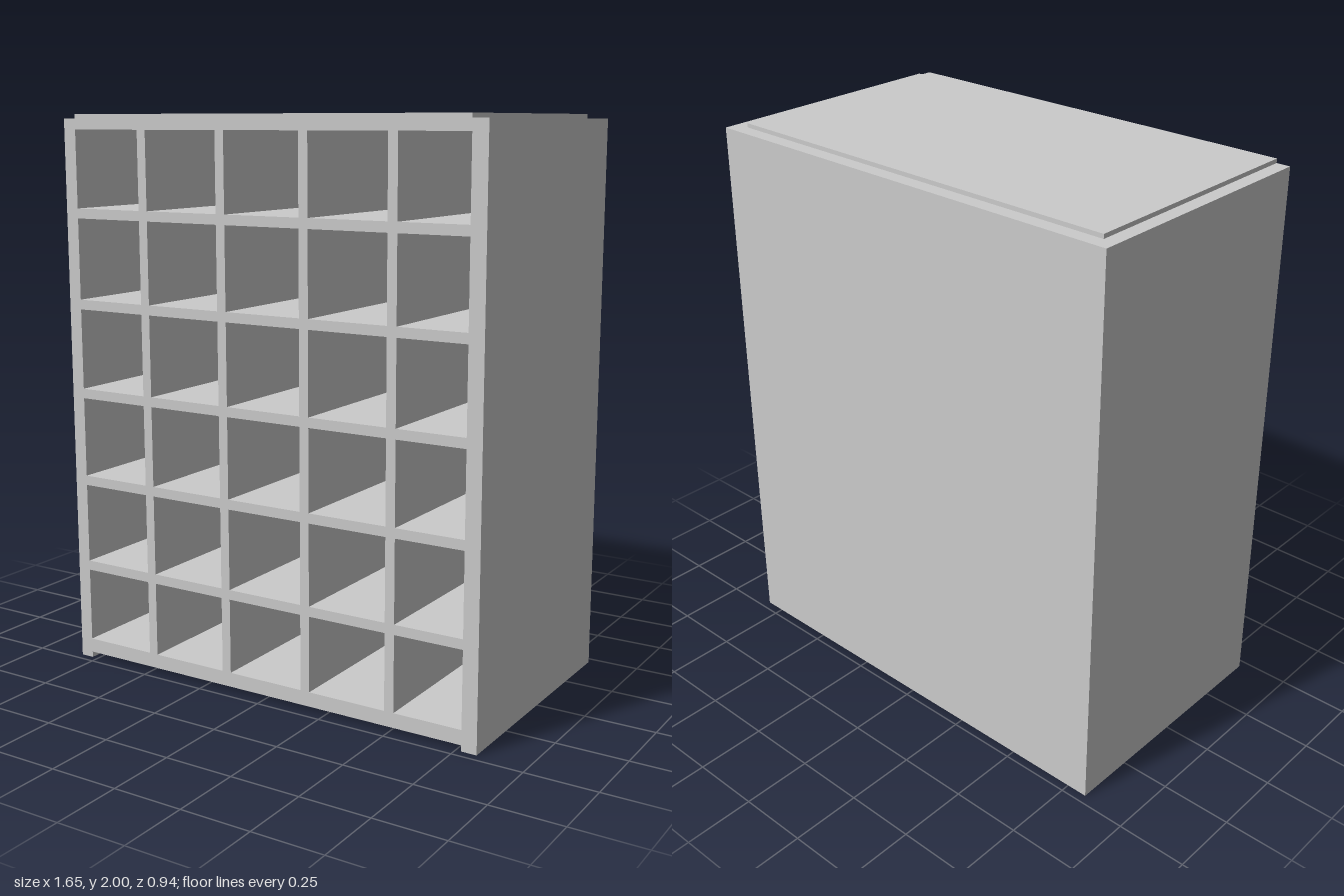
import * as THREE from 'three';

const material = new THREE.MeshStandardMaterial({ color: 0xcccccc, flatShading: true });

// Adds a box given its extents along each axis
function addBoard(group, name, [x0, x1], [y0, y1], [z0, z1]) {
  const mesh = new THREE.Mesh(new THREE.BoxGeometry(x1 - x0, y1 - y0, z1 - z0), material);
  mesh.position.set((x0 + x1) / 2, (y0 + y1) / 2, (z0 + z1) / 2);
  mesh.name = name;
  group.add(mesh);
}

export function createModel() {
  const group = new THREE.Group();
  group.name = 'pigeonholeCabinet';

  const left = 0.77, right = -0.775, outer = 0.825; // inner and outer faces of the sides
  const front = 0.468, back = -0.468, backInner = -0.417;
  const sideTop = 1.985, thickness = 0.035;
  const inside = [right, left], depth = [backInner, front];

  // Outer case: sides, back, raised top and slightly recessed bottom
  addBoard(group, 'leftSide', [left, outer], [0, sideTop], [backInner, front]);
  addBoard(group, 'rightSide', [-outer, right], [0, sideTop], [backInner, front]);
  addBoard(group, 'backPanel', [-outer, outer], [0, sideTop], [back, backInner]);
  addBoard(group, 'topPanel', inside, [1.947, 2], depth);
  addBoard(group, 'bottomPanel', inside, [0.021, 0.073], depth);

  // Five full-width shelves
  const shelfBottoms = [];
  for (let i = 0; i < 5; i++) shelfBottoms.push(0.342 + i * 0.324);
  shelfBottoms.forEach((y) => addBoard(group, 'shelf', inside, [y, y + thickness], depth));

  // Four upright dividers in each of the six rows
  const floors = [0.073, ...shelfBottoms.map((y) => y + thickness)];
  const ceilings = [...shelfBottoms, 1.947];
  for (let row = 0; row < 6; row++) {
    for (let i = 0; i < 4; i++) {
      const x = -0.498 + i * 0.328;
      addBoard(group, 'divider', [x, x + thickness], [floors[row], ceilings[row]], depth);
    }
  }
  return group;
}
